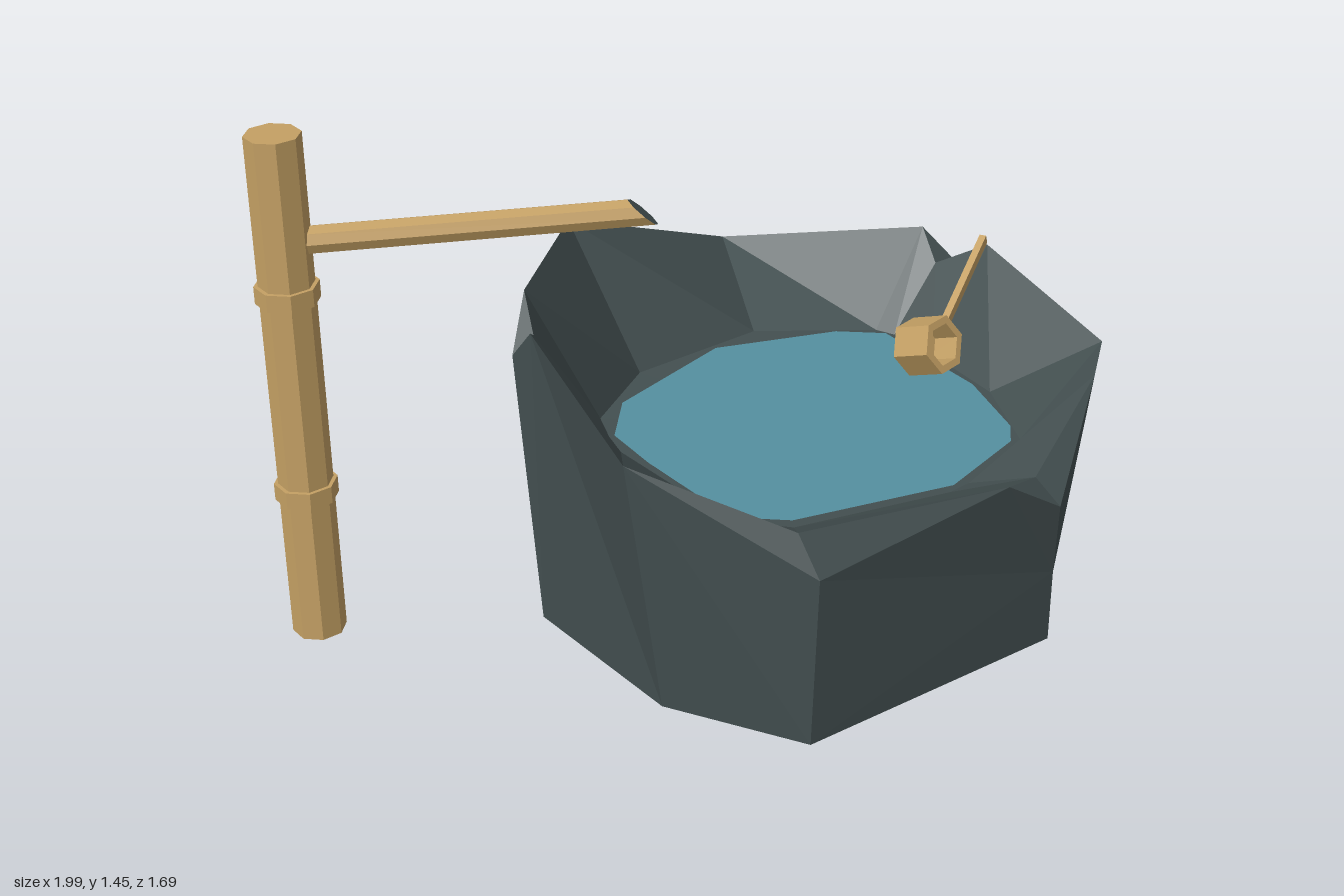
import * as THREE from 'three';

const mat = (name, color) => {
  const m = new THREE.MeshStandardMaterial({ color });
  m.name = name;
  return m;
};

// Facet a geometry so every face has its own flat normal
function faceted(geo) {
  const g = geo.index ? geo.toNonIndexed() : geo;
  g.computeVertexNormals();
  return g;
}

function mesh(name, geo, material) {
  const m = new THREE.Mesh(faceted(geo), material);
  m.name = name;
  return m;
}

// Join closed loops of points from bottom to top, skipping collapsed triangles
function loft(rows) {
  const pos = [];
  const same = (p, q) => p.every((v, i) => v === q[i]);
  const tri = (a, b, c) => {
    if (!same(a, b) && !same(b, c) && !same(a, c)) pos.push(...a, ...b, ...c);
  };
  for (let r = 0; r < rows.length - 1; r++) {
    const n = rows[r].length;
    for (let i = 0; i < n; i++) {
      const j = (i + 1) % n;
      const a = rows[r][i], b = rows[r][j], c = rows[r + 1][j], d = rows[r + 1][i];
      tri(a, b, d);
      tri(b, c, d);
    }
  }
  const g = new THREE.BufferGeometry();
  g.setAttribute('position', new THREE.Float32BufferAttribute(pos, 3));
  return g;
}

function rockBasin(stone) {
  // Foot corners, going from the front round the right-hand side of the front
  const foot = [
    [0.32, 0, 0.79], [0.78, 0, 0.47], [0.96, 0, -0.1], [0.68, 0, -0.66],
    [0.06, 0, -0.69], [-0.49, 0, -0.33], [-0.59, 0, 0.2], [-0.47, 0, 0.6],
  ];
  // Corner columns: foot index, rim point, inner edge x/z, chipped point below the rim
  const columns = [
    [0, [0.09, 0.58, 0.79], [0.1, 0.6]],
    [0, [0.24, 0.535, 0.77], [0.17, 0.61], [0.25, 0.47, 0.845]],
    [0, [0.68, 0.62, 0.66], [0.45, 0.58]],
    [1, [0.83, 0.64, 0.585], [0.62, 0.36]],
    [2, [0.97, 0.74, 0.09], [0.7, 0.1]],
    [2, [0.91, 0.66, -0.05], [0.73, -0.06], [0.995, 0.635, -0.03]],
    [2, [0.95, 0.74, -0.13], [0.72, -0.12]],
    [3, [0.71, 0.62, -0.71], [0.48, -0.39]],
    [4, [0.05, 0.9, -0.715], [0.07, -0.47]],
    [5, [-0.38, 0.92, -0.46], [-0.2, -0.37]],
    [5, [-0.45, 0.845, -0.36], [-0.26, -0.28], [-0.52, 0.81, -0.37]],
    [5, [-0.51, 0.89, -0.31], [-0.3, -0.2]],
    [6, [-0.68, 0.75, 0.17], [-0.38, 0.25]],
    [7, [-0.48, 0.62, 0.56], [-0.3, 0.4], [-0.48, 0.51, 0.63]],
  ];
  const fill = (p) => columns.map(() => p);
  const base = columns.map((c) => foot[c[0]]);
  const knee = [0.3, 0.23, 0.805];
  return mesh('rockBasin', loft([
    fill([0.16, 0, 0.05]),
    base,
    base.map((p, i) => (columns[i][0] === 0 ? knee : p)),
    columns.map((c) => c[3] || c[1]),
    columns.map((c) => c[1]),
    columns.map((c) => [c[2][0], 0.488, c[2][1]]),
    fill([0.17, 0.475, 0.08]),
  ]), stone);
}

function waterSurface(water) {
  const outline = [
    [-0.1, -0.38], [-0.25, -0.27], [-0.3, -0.1], [-0.37, 0.25], [-0.28, 0.38], [0.13, 0.59],
    [0.42, 0.57], [0.49, 0.52], [0.62, 0.3], [0.715, -0.08], [0.63, -0.2], [0.32, -0.4],
  ].map(([x, z]) => new THREE.Vector2(x, -z));
  const geo = new THREE.ShapeGeometry(new THREE.Shape(outline));
  geo.rotateX(-Math.PI / 2).translate(0, 0.492, 0);
  return mesh('water', geo, water);
}

function bambooSpout(bamboo, stone) {
  const group = new THREE.Group();
  group.name = 'bambooSpout';
  const at = new THREE.Vector3(-0.917, 0, -0.767);

  // Upright post with two node rings
  const upright = (name, r, h, y) => {
    const m = mesh(name, new THREE.CylinderGeometry(r, r, h, 8), bamboo);
    m.position.set(at.x, y, at.z);
    m.rotation.y = 0.2;
    group.add(m);
  };
  upright('post', 0.073, 1.45, 0.725);
  [0.44, 1.018].forEach((y) => upright('nodeRing', 0.084, 0.048, y));

  // Pipe with a slanted, dark mouth
  const length = 0.92;
  const geo = new THREE.CylinderGeometry(0.038, 0.038, length, 8);
  geo.rotateX(Math.PI / 2).translate(0, 0, length / 2);
  const p = geo.attributes.position;
  for (let i = 0; i < p.count; i++) {
    if (p.getZ(i) > length / 2) p.setZ(i, p.getZ(i) - p.getY(i) * 1.05);
  }
  const pipe = mesh('pipe', geo, [bamboo, stone, bamboo]);
  pipe.position.set(at.x, 1.157, at.z);
  pipe.rotation.y = Math.atan2(0.725, 0.57);
  group.add(pipe);
  return group;
}

function ladle(bamboo) {
  const group = new THREE.Group();
  group.name = 'ladle';

  // Six-sided cup lying on its side, with a floor inside
  const cup = new THREE.Group();
  cup.name = 'cup';
  const ring = [[0.06, -0.06], [0.083, -0.06], [0.083, 0.06], [0.06, 0.06], [0.06, -0.06]]
    .map(([x, y]) => new THREE.Vector2(x, y));
  cup.add(mesh('cupWall', new THREE.LatheGeometry(ring, 6, Math.PI / 6), bamboo));
  const floor = new THREE.CylinderGeometry(0.062, 0.062, 0.02, 6, 1, false, Math.PI / 6);
  floor.translate(0, -0.03, 0);
  cup.add(mesh('cupFloor', floor, bamboo));
  cup.position.set(0.527, 0.62, 0.207);
  cup.rotation.x = 1.2;
  group.add(cup);

  // Handle rising outwards over the rim
  const from = new THREE.Vector3(0.59, 0.625, 0.2);
  const to = new THREE.Vector3(0.915, 0.785, 0.113);
  const handle = mesh('handle', new THREE.BoxGeometry(0.02, 0.03, from.distanceTo(to)), bamboo);
  handle.position.copy(from).lerp(to, 0.5);
  handle.lookAt(to);
  group.add(handle);
  return group;
}

export function createModel() {
  const stone = mat('dark stone', 0x434f50);
  const bamboo = mat('bamboo', 0xc4a064);
  const water = mat('water', 0x5590a0);
  const model = new THREE.Group();
  model.name = 'waterBasin';
  model.add(rockBasin(stone), waterSurface(water), bambooSpout(bamboo, stone), ladle(bamboo));
  return model;
}
